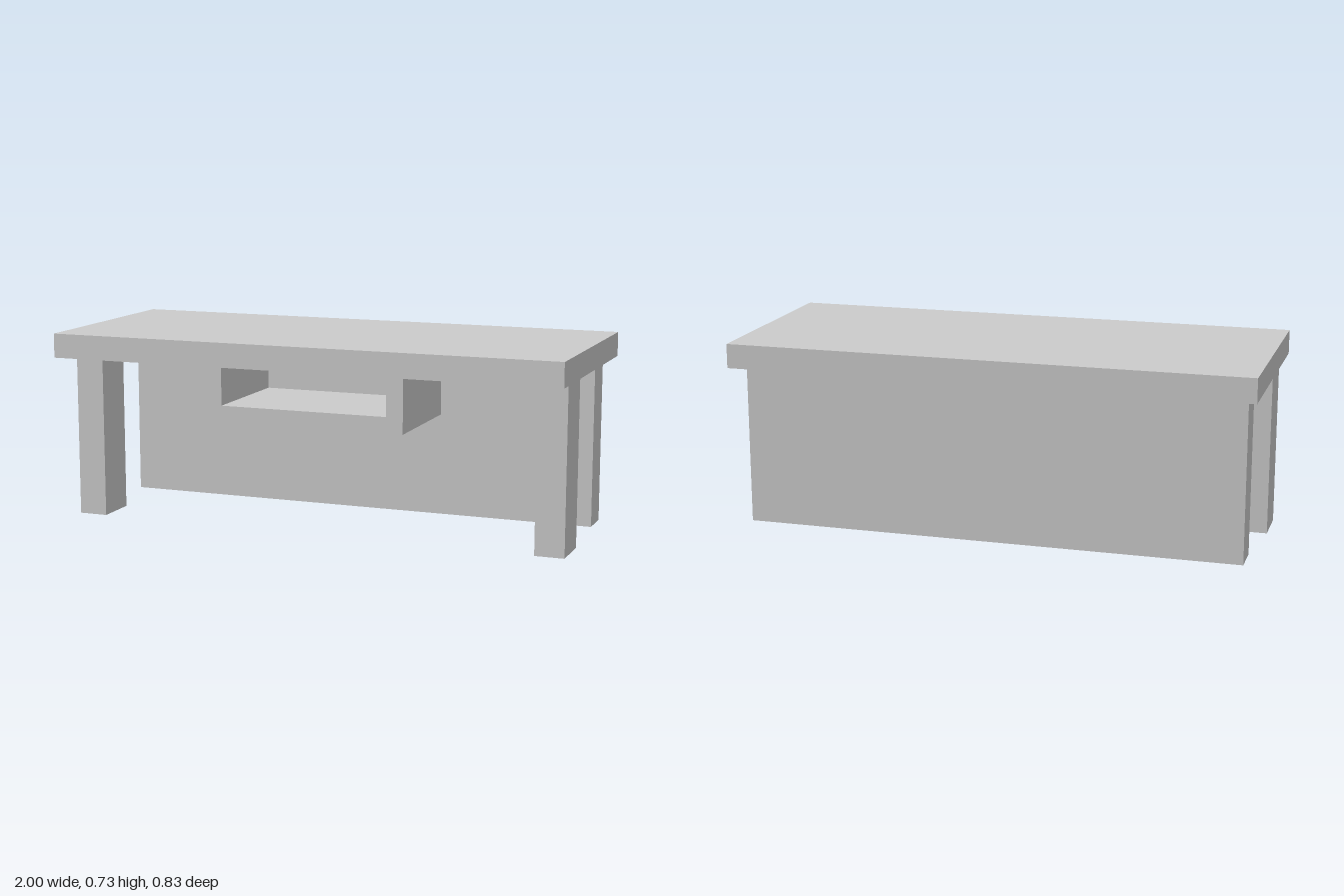
import * as THREE from 'three';

const material = new THREE.MeshStandardMaterial({ color: 0xcccccc, flatShading: true });

// Box given by its extents on each axis
function block(name, [x0, x1], [y0, y1], [z0, z1]) {
  const mesh = new THREE.Mesh(new THREE.BoxGeometry(x1 - x0, y1 - y0, z1 - z0), material);
  mesh.position.set((x0 + x1) / 2, (y0 + y1) / 2, (z0 + z1) / 2);
  mesh.name = name;
  return mesh;
}

export function createModel() {
  const desk = new THREE.Group();
  desk.name = 'desk';
  const underside = 0.64;

  desk.add(block('tabletop', [-1, 1], [underside, 0.733], [-0.415, 0.415]));
  desk.add(block('backPanel', [-0.957, 0.966], [0.01, underside], [-0.315, -0.19]));

  // Front legs
  desk.add(block('rightFrontLeg', [-0.983, -0.871], [0, underside], [0.102, 0.272]));
  desk.add(block('leftFrontLeg', [0.868, 0.98], [0, underside], [0.102, 0.272]));

  // Open shelf tray: U-shaped section running from the front to the back panel
  const section = new THREE.Shape([
    [-0.434, underside], [-0.434, 0.406], [0.36, 0.406], [0.36, underside],
    [0.295, underside], [0.295, 0.468], [-0.37, 0.468], [-0.37, underside],
  ].map(([x, y]) => new THREE.Vector2(x, y)));
  const tray = new THREE.Mesh(
    new THREE.ExtrudeGeometry(section, { depth: 0.45, bevelEnabled: false }), material);
  tray.position.z = -0.19;
  tray.name = 'shelfTray';
  desk.add(tray);

  return desk;
}
